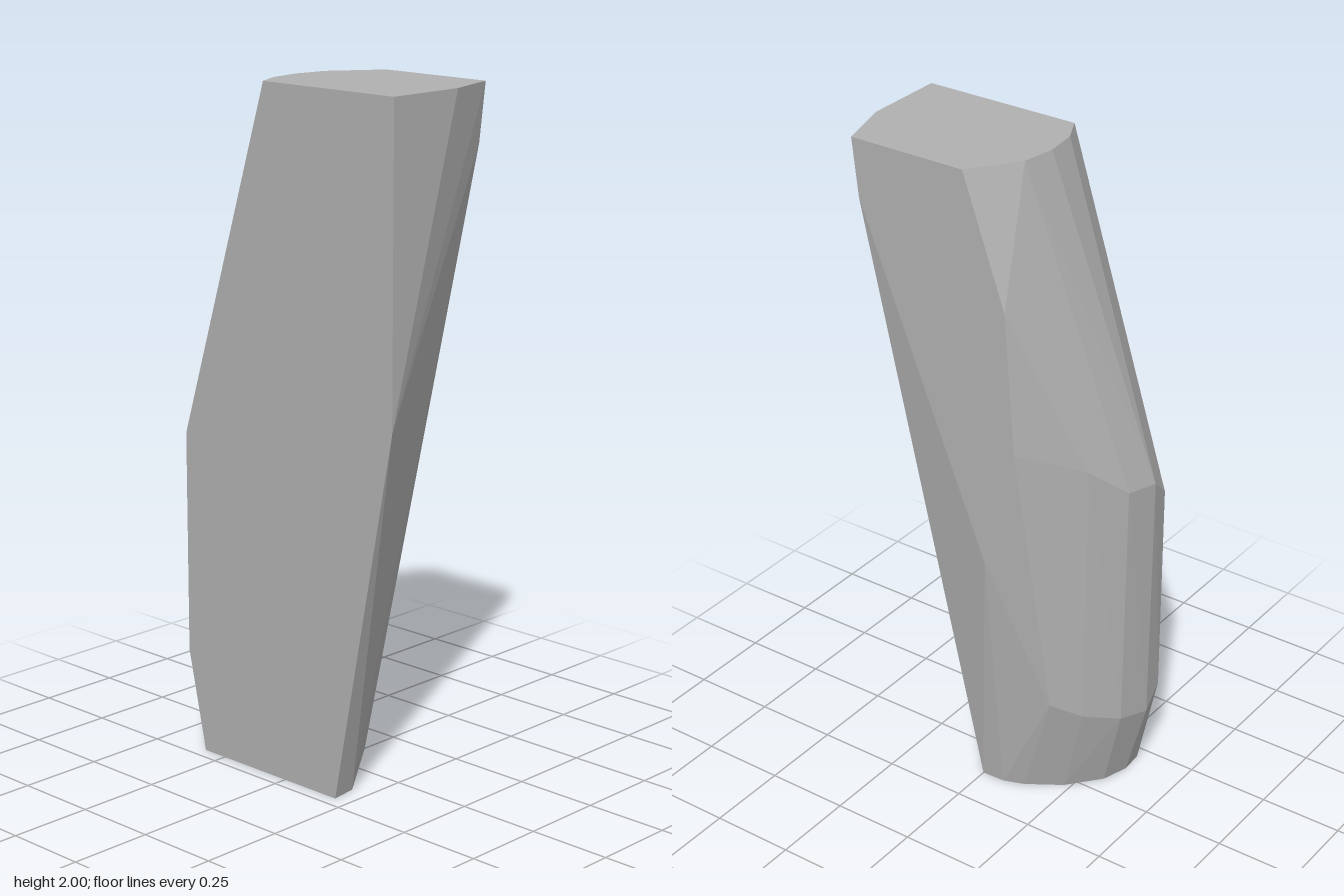
import * as THREE from 'three';
import { ConvexGeometry } from 'three/addons/geometries/ConvexGeometry.js';

export function createModel() {
  const group = new THREE.Group();
  group.name = 'facetedBlock';
  const grey = new THREE.MeshStandardMaterial({ color: 0xb0b0b0 });
  grey.name = 'stone grey';

  // Corners of the convex block, as [x, y, z]
  const corners = [
    // rim of the flat top
    [-0.21, 2, 0.41], [0.04, 2, 0.41], [0.21, 2, 0.36], [0.21, 2, -0.005],
    [0.07, 2, -0.105], [-0.03, 2, -0.122], [-0.13, 2, -0.11], [-0.21, 2, -0.07],
    // front shoulder and the tapering left face
    [-0.21, 1.1, 0.41], [0.21, 1.83, 0.34], [0.21, 0.82, -0.07],
    [0.21, 1.62, -0.14], [0.21, 1.2, -0.17],
    // upper break of the rounded back
    [0.07, 1.13, -0.32], [-0.03, 1.04, -0.39], [-0.13, 1.03, -0.413], [-0.21, 0.96, -0.395],
    // lower break of the rounded back
    [0.128, 0.35, -0.24], [0.06, 0.3, -0.31], [-0.03, 0.27, -0.383],
    [-0.13, 0.25, -0.407], [-0.21, 0.3, -0.395],
    // rim of the flat base
    [-0.21, 0, 0.2], [-0.13, 0, 0.19], [0.125, 0, 0], [0.122, 0, -0.07],
    [0.1, 0, -0.13], [0.035, 0, -0.23], [-0.06, 0, -0.31], [-0.14, 0, -0.335], [-0.21, 0, -0.33],
  ];
  const geometry = new ConvexGeometry(corners.map((c) => new THREE.Vector3(...c)));

  const block = new THREE.Mesh(geometry, grey);
  block.name = 'block';
  group.add(block);
  return group;
}
